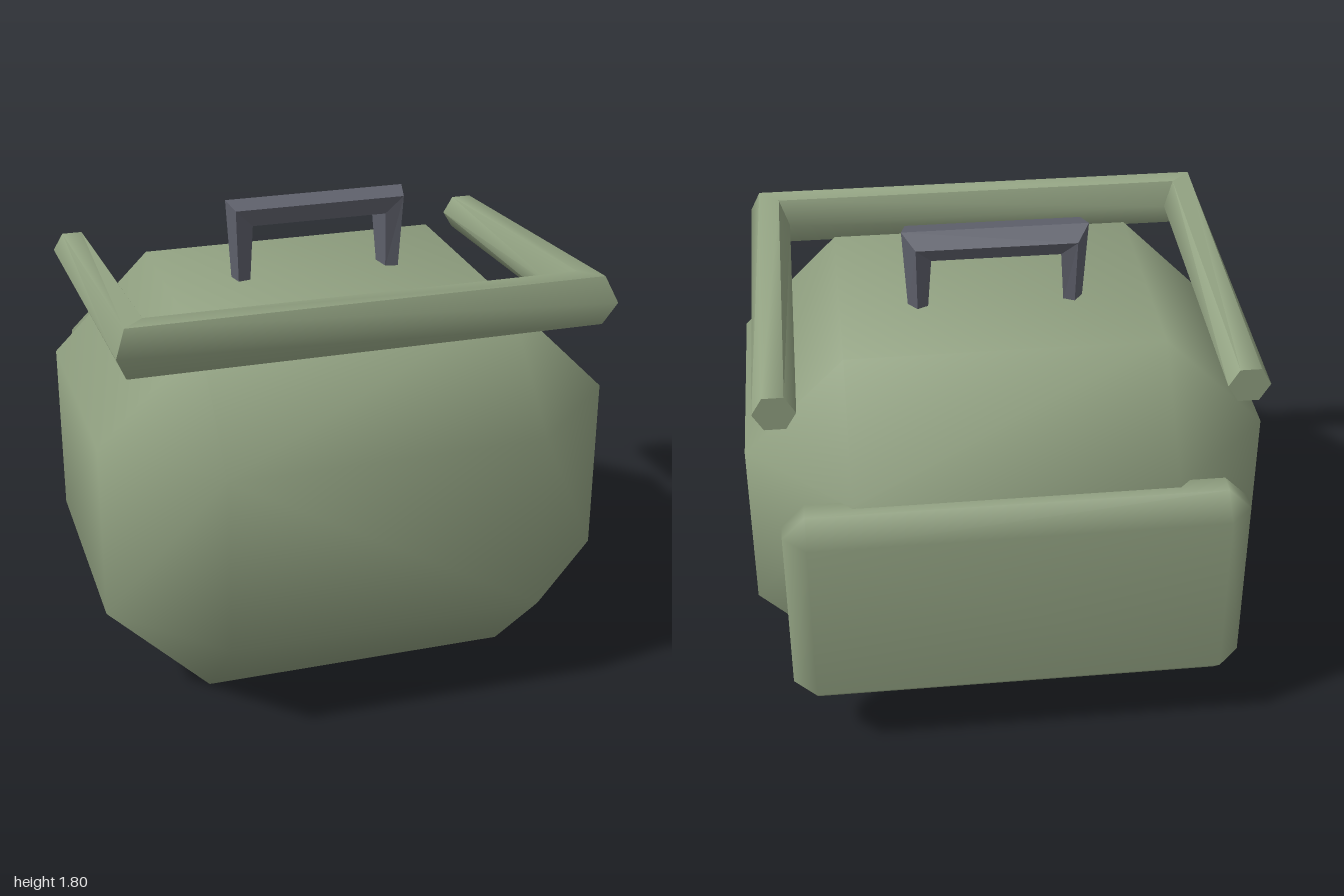
import * as THREE from 'three';
import { mergeVertices, toCreasedNormals } from 'three/addons/utils/BufferGeometryUtils.js';
import { ConvexGeometry } from 'three/addons/geometries/ConvexGeometry.js';

// Box with 45 degree chamfers of size c and smooth normals.
function chamferBox(min, max, c) {
  const points = [];
  for (const sx of [0, 1]) for (const sy of [0, 1]) for (const sz of [0, 1]) {
    const s = [sx, sy, sz];
    for (let axis = 0; axis < 3; axis++) {
      const p = s.map((v, i) => (v ? max[i] - (i === axis ? 0 : c) : min[i] + (i === axis ? 0 : c)));
      points.push(new THREE.Vector3(...p));
    }
  }
  let geo = new ConvexGeometry(points);
  geo.deleteAttribute('normal');
  geo = mergeVertices(geo, 1e-4);
  geo.computeVertexNormals();
  return geo;
}

// Skin a row of equal-sized cross-sections and cap both ends.
function skin(sections) {
  const n = sections[0].length;
  const v = sections.flat();
  const index = [];
  for (let s = 0; s < sections.length - 1; s++) {
    for (let i = 0; i < n; i++) {
      const a = s * n + i, b = s * n + ((i + 1) % n);
      index.push(a, b, b + n, a, b + n, a + n);
    }
  }
  const last = (sections.length - 1) * n;
  for (let i = 1; i < n - 1; i++) {
    index.push(0, i + 1, i, last, last + i, last + i + 1);
  }
  // Turn the faces outward when the enclosed volume is negative.
  let volume = 0;
  for (let i = 0; i < index.length; i += 3) {
    const [a, b, c] = [v[index[i]], v[index[i + 1]], v[index[i + 2]]];
    volume += a.dot(new THREE.Vector3().crossVectors(b, c));
  }
  if (volume < 0) index.reverse();
  const geo = new THREE.BufferGeometry().setFromPoints(v);
  geo.setIndex(index);
  const flat = geo.toNonIndexed();
  flat.computeVertexNormals();
  return flat;
}

export function createModel() {
  const group = new THREE.Group();
  const green = new THREE.MeshStandardMaterial({ color: 0x92a282 });
  green.name = 'sage green';
  const grey = new THREE.MeshStandardMaterial({ color: 0x5f616c });
  grey.name = 'slate grey';

  const add = (name, geo, mat) => {
    const mesh = new THREE.Mesh(geo, mat);
    mesh.name = name;
    group.add(mesh);
  };

  // Main body and the slab on its back
  add('body', chamferBox([-1, 0, -0.81], [1, 1.485, 0.935], 0.393), green);
  add('backPack', chamferBox([-0.87, 0.22, -0.935], [0.87, 1.09, -0.68], 0.088), green);

  // Hexagonal U-shaped collar, thicker at the front corners
  const hex = [[0.08, 0], [0.04, 1], [-0.04, 1], [-0.08, 0], [-0.04, -1], [0.04, -1]];
  const collarSection = (side, y, z, halfHeight, corner) =>
    hex.map(([out, up]) => new THREE.Vector3(
      side * (0.867 + out), y + up * halfHeight, z + corner * out));
  const collar = skin([
    collarSection(1, 1.438, -0.68, 0.067, 0),
    collarSection(1, 1.525, 0.67, 0.096, 1),
    collarSection(-1, 1.525, 0.67, 0.096, 1),
    collarSection(-1, 1.438, -0.68, 0.067, 0),
  ]);
  add('collar', toCreasedNormals(collar, Math.PI / 3), green);

  // Five-sided carrying handle, tapering toward the feet
  const pent = [[0.04, 0.075], [0.06, -0.015], [0.01, -0.08], [-0.05, -0.05], [-0.03, 0.06]];
  const handleSection = (side, y, scale, corner) =>
    pent.map(([out, z]) => new THREE.Vector3(
      side * (0.3 + out * scale), y + corner * out, -0.025 + z * scale));
  const handle = skin([
    handleSection(1, 1.48, 0.7, 0),
    handleSection(1, 1.74, 1, 1),
    handleSection(-1, 1.74, 1, 1),
    handleSection(-1, 1.48, 0.7, 0),
  ]);
  add('topHandle', handle, grey);

  return group;
}
